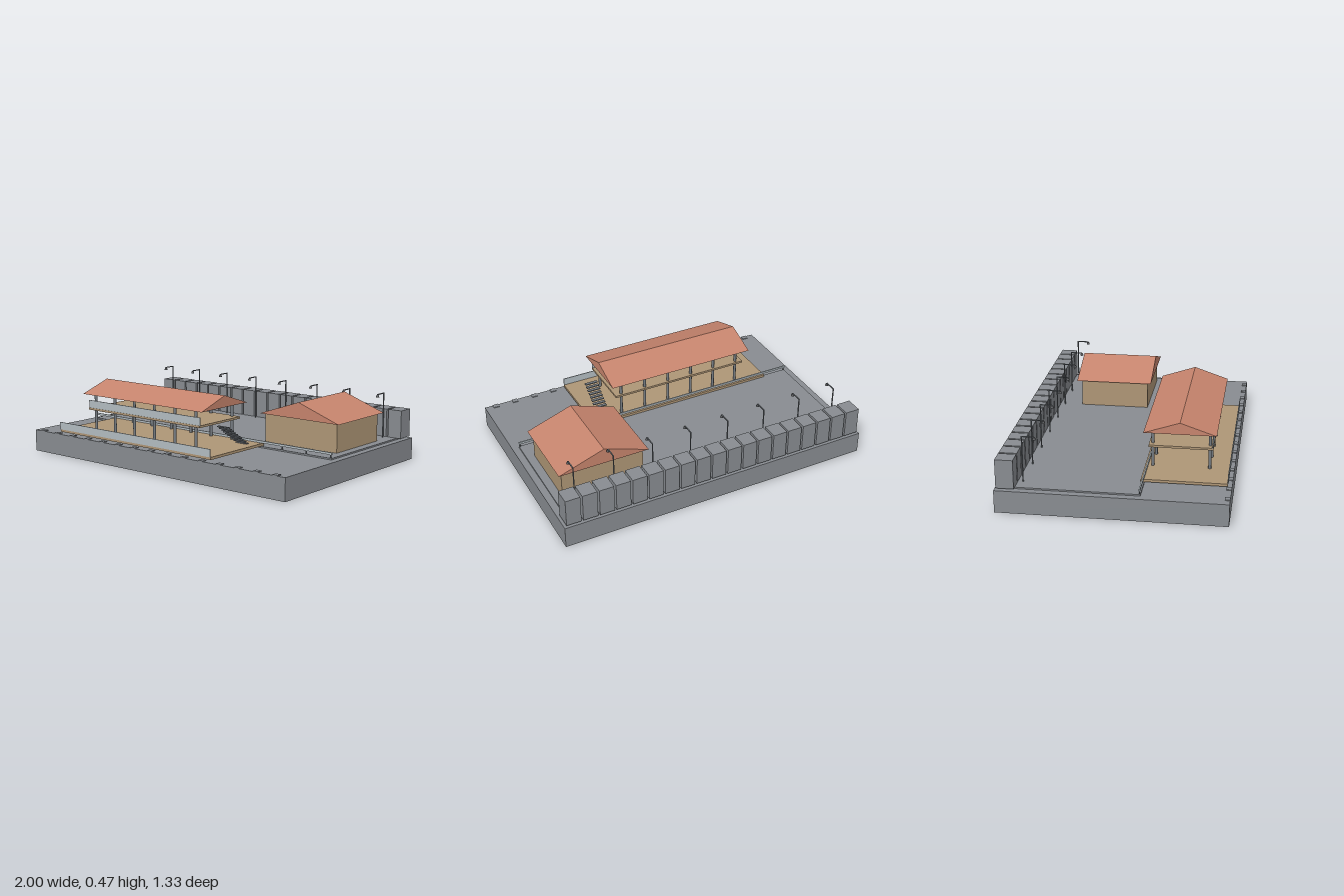
import * as THREE from 'three';

const mat = (name, color) => {
  const m = new THREE.MeshStandardMaterial({ color });
  m.name = name;
  return m;
};

export function createModel() {
  const model = new THREE.Group();
  model.name = 'waterfrontStation';
  const concrete = mat('concreteGrey', 0x888c91);
  const tan = mat('tanWall', 0xae9676);
  const tile = mat('roofTile', 0xc6846d);
  const pale = mat('paleRailing', 0xb3bdc2);
  const steel = mat('steelGrey', 0x747a80);
  const dark = mat('darkLamp', 0x55575a);

  const add = (parent, name, geometry, material, x = 0, y = 0, z = 0) => {
    const mesh = new THREE.Mesh(geometry, material);
    mesh.name = name;
    mesh.position.set(x, y, z);
    parent.add(mesh);
    return mesh;
  };
  // Box given by its extents along each axis
  const box = (parent, name, material, [x0, x1], [y0, y1], [z0, z1]) =>
    add(parent, name, new THREE.BoxGeometry(x1 - x0, y1 - y0, z1 - z0), material,
      (x0 + x1) / 2, (y0 + y1) / 2, (z0 + z1) / 2);
  const group = (name) => {
    const g = new THREE.Group();
    g.name = name;
    model.add(g);
    return g;
  };
  // Solid gable roof, ridge running along z
  const gable = (span, rise, length) => {
    const s = new THREE.Shape();
    s.moveTo(-span / 2, 0);
    s.lineTo(span / 2, 0);
    s.lineTo(0, rise);
    s.closePath();
    return new THREE.ExtrudeGeometry(s, { depth: length, bevelEnabled: false }).translate(0, 0, -length / 2);
  };

  // Ground
  box(model, 'base', concrete, [-1, 1], [0, 0.136], [-0.667, 0.667]);
  box(model, 'yardSlab', concrete, [-0.957, 0.957], [0.136, 0.145], [-0.585, 0.165]);

  // Small pads along the front edge
  const pads = group('edgePads');
  for (let i = 0; i < 15; i++) {
    const x = -0.931 + i * 0.133;
    box(pads, 'edgePad', concrete, [x - 0.018, x + 0.018], [0.136, 0.141], [0.636, 0.667]);
  }

  // Row of storage blocks at the back
  const blocks = group('backBlocks');
  for (let i = 0; i < 19; i++) {
    const x = (i - 9) * 0.1043;
    box(blocks, 'backBlock', concrete, [x - 0.046, x + 0.046], [0.145, 0.32], [-0.657, -0.552]);
  }

  // Lamp posts with arms reaching forward
  const lamps = group('lampPosts');
  for (let i = 0; i < 8; i++) {
    const x = -0.876 + i * 0.25;
    add(lamps, 'lampPole', new THREE.CylinderGeometry(0.004, 0.004, 0.28, 8), steel, x, 0.285, -0.522);
    box(lamps, 'lampArm', steel, [x - 0.003, x + 0.003], [0.421, 0.427], [-0.525, -0.45]);
    add(lamps, 'lampHead', new THREE.CylinderGeometry(0.006, 0.011, 0.014, 10), dark, x, 0.415, -0.45);
  }

  // Low rail along the front of the yard
  const fence = group('yardFence');
  box(fence, 'fenceRail', pale, [-0.957, 0.957], [0.165, 0.178], [0.156, 0.164]);
  for (let i = 0; i < 12; i++) {
    const x = -0.95 + i * 1.9 / 11;
    box(fence, 'fencePost', steel, [x - 0.003, x + 0.003], [0.145, 0.166], [0.157, 0.163]);
  }

  // Side house
  const house = group('house');
  box(house, 'houseWalls', tan, [0.382, 0.905], [0.145, 0.321], [-0.405, 0.034]);
  add(house, 'houseRoof', gable(0.574, 0.1, 0.492), tile, 0.643, 0.32, -0.188);

  // Open two-storey pavilion
  const hall = group('pavilion');
  box(hall, 'lowerFloor', tan, [-0.79, 0.455], [0.147, 0.163], [0.145, 0.642]);
  box(hall, 'upperFloor', tan, [-0.628, 0.29], [0.295, 0.308], [0.169, 0.545]);
  box(hall, 'lowerRailing', pale, [-0.79, 0.455], [0.163, 0.21], [0.641, 0.646]);
  box(hall, 'upperRailing', pale, [-0.628, 0.29], [0.308, 0.356], [0.538, 0.543]);
  for (let i = 0; i < 6; i++) {
    for (const z of [0.19, 0.524]) {
      add(hall, 'column', new THREE.CylinderGeometry(0.009, 0.009, 0.26, 12), steel, -0.585 + i * 0.166, 0.266, z);
    }
  }
  const roof = add(hall, 'pavilionRoof', gable(0.424, 0.071, 0.98), tile, -0.168, 0.395, 0.353);
  roof.rotation.y = Math.PI / 2;

  // Floating stair treads
  const stairs = group('stairs');
  for (let i = 0; i < 10; i++) {
    const y = 0.167 + i * 0.0136;
    const z = 0.233 + i * 0.0195;
    box(stairs, 'stairTread', steel, [0.315, 0.398], [y - 0.004, y + 0.002], [z - 0.01, z + 0.01]);
  }

  return model;
}
